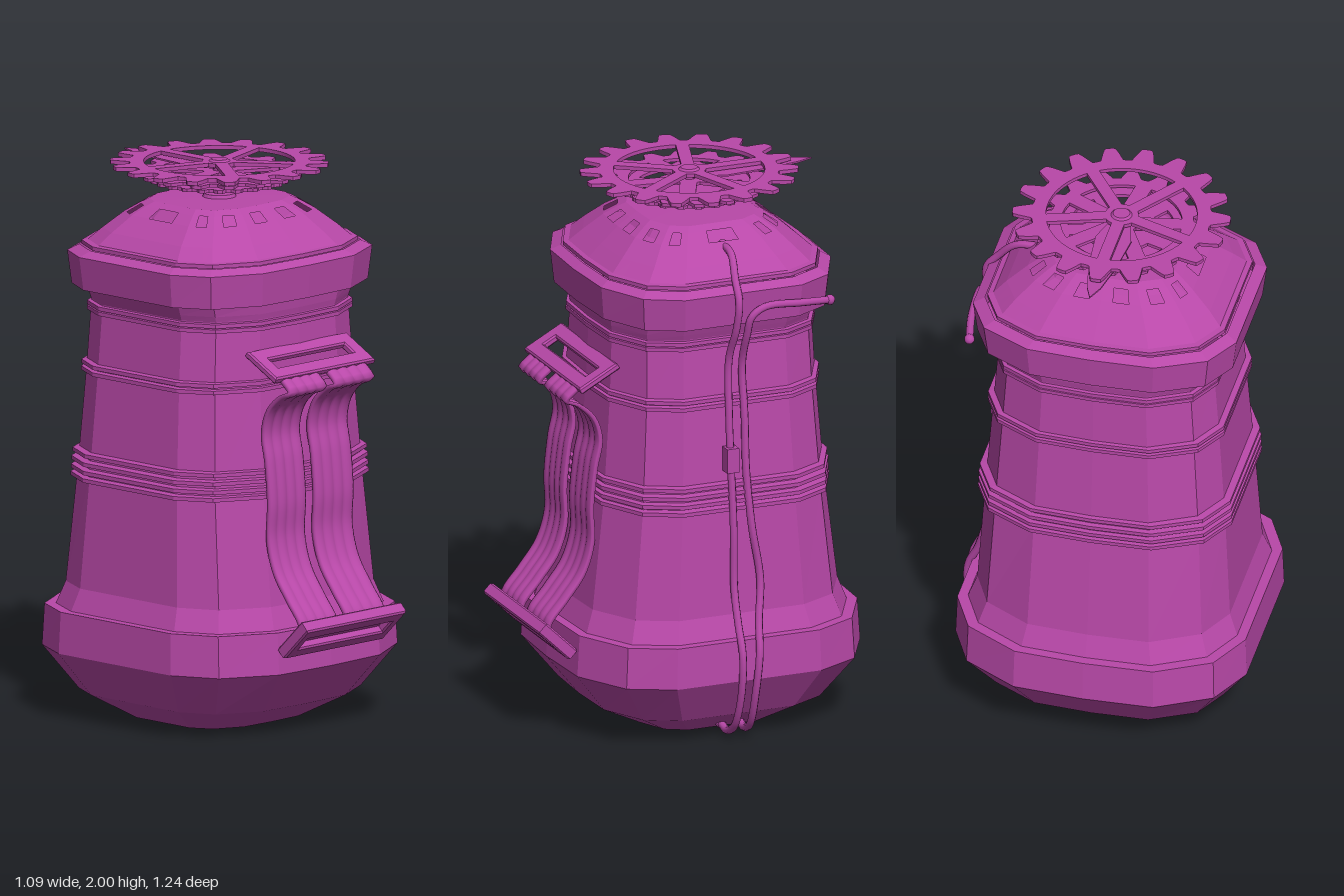
import * as THREE from 'three';

const CX = -0.015, CZ = -0.063; // axis of the body
const COLOR = 0xb848a8;
const flat = new THREE.MeshStandardMaterial({ color: COLOR, flatShading: true, side: THREE.DoubleSide });
const smooth = new THREE.MeshStandardMaterial({ color: COLOR, side: THREE.DoubleSide });

// Rounded-square outline with 14 corners, running from front to left, back, right
const quarter = [[0, 1], [0.48, 0.98], [0.85, 0.79], [1, 0.5]];
const half = [...quarter, ...quarter.slice().reverse().map(([x, z]) => [x, -z])];
const outline = [...half, ...half.slice(1, -1).reverse().map(([x, z]) => [-x, z])];
// Same outline with three pieces per edge, so the middle piece can be opened
const splitOutline = outline.flatMap((p, i) => {
  const q = outline[(i + 1) % outline.length];
  return [0, 0.3, 0.7].map(t => [p[0] + (q[0] - p[0]) * t, p[1] + (q[1] - p[1]) * t]);
});

// Skin from stacked outlines; rows are [y, half width x, half width z]
function loft(rows, ring = outline, skip = () => false) {
  const pos = [], n = ring.length;
  const at = (j, i) => [ring[i % n][0] * rows[j][1], rows[j][0], ring[i % n][1] * rows[j][2]];
  for (let j = 0; j < rows.length - 1; j++) {
    for (let i = 0; i < n; i++) {
      if (skip(j, i)) continue;
      const a = at(j, i), b = at(j, i + 1), c = at(j + 1, i + 1), d = at(j + 1, i);
      pos.push(...a, ...b, ...c, ...a, ...c, ...d);
    }
  }
  const g = new THREE.BufferGeometry();
  g.setAttribute('position', new THREE.Float32BufferAttribute(pos, 3));
  g.computeVertexNormals();
  return g;
}

// Toothed wheel with spokes, lying flat
function gearGeometry({ tip, root, teeth, rim, hub, spoke, depth, spokes = 5 }) {
  const pts = [], n = teeth * 14;
  for (let k = 0; k < n; k++) {
    const a = (k / n) * Math.PI * 2;
    const w = THREE.MathUtils.clamp(1.5 * Math.cos(teeth * (a + Math.PI / 2)), -1, 1);
    const r = (tip + root) / 2 + (tip - root) / 2 * w;
    pts.push(new THREE.Vector2(r * Math.cos(a), r * Math.sin(a)));
  }
  const shape = new THREE.Shape(pts);
  for (let k = 0; k < spokes; k++) {
    const a = Math.PI / 2 + (k / spokes) * Math.PI * 2, b = a + Math.PI * 2 / spokes;
    const outer = Math.asin(spoke / rim), inner = Math.asin(spoke / hub);
    const hole = new THREE.Path();
    hole.absarc(0, 0, rim, a + outer, b - outer, false);
    hole.absarc(0, 0, hub, b - inner, a + inner, true);
    hole.closePath();
    shape.holes.push(hole);
  }
  const g = new THREE.ExtrudeGeometry(shape, { depth, bevelEnabled: false, curveSegments: 14 });
  return g.rotateX(-Math.PI / 2);
}

// Ribbed band following a path of [z, y] points
function strapGeometry(path, x0, x1) {
  const curve = new THREE.CatmullRomCurve3(path.map(([z, y]) => new THREE.Vector3(0, y, z)));
  const U = 28, V = 56, T = 0.012, pos = [], idx = [], W = 2 * (U + 1);
  for (let j = 0; j <= V; j++) {
    const p = curve.getPointAt(j / V), t = curve.getTangentAt(j / V);
    for (let k = 0; k < W; k++) {
      const back = k > U, u = (back ? W - 1 - k : k) / U;
      const h = 0.006 * Math.abs(Math.sin(u * Math.PI * 4)) - (back ? T : 0);
      pos.push(x0 + (x1 - x0) * u - 0.012 * (j / V), p.y + t.z * h, p.z - t.y * h);
    }
  }
  for (let j = 0; j < V; j++) {
    for (let k = 0; k < W; k++) {
      const a = j * W + k, b = j * W + (k + 1) % W;
      idx.push(a, a + W, b, b, a + W, b + W);
    }
  }
  const g = new THREE.BufferGeometry();
  g.setAttribute('position', new THREE.Float32BufferAttribute(pos, 3));
  // Path runs downwards, so reverse the winding to face outwards
  g.setIndex(idx);
  g.computeVertexNormals();
  return g;
}

// Slotted buckle plate, centred on the origin
function buckleGeometry(w, h, depth, slotW, slotH) {
  const rect = (s, a, b) => s.moveTo(-a, -b).lineTo(a, -b).lineTo(a, b).lineTo(-a, b).closePath();
  const shape = rect(new THREE.Shape(), w / 2, h / 2);
  shape.holes.push(rect(new THREE.Path(), slotW / 2, slotH / 2));
  const g = new THREE.ExtrudeGeometry(shape, { depth, bevelSize: 0.006, bevelThickness: 0.006, bevelOffset: -0.006, bevelSegments: 1 });
  return g.translate(0, 0, -depth / 2);
}

export function createModel() {
  const model = new THREE.Group();
  const add = (name, geometry, x = 0, y = 0, z = 0, material = flat) => {
    const m = new THREE.Mesh(geometry, material);
    m.name = name;
    m.position.set(x, y, z);
    model.add(m);
    return m;
  };

  // Barrel body
  add('base', loft([[0.005, 0, 0], [0.005, 0.285, 0.26], [0.095, 0.43, 0.43], [0.25, 0.53, 0.555],
    [0.4, 0.525, 0.545], [0.4, 0.49, 0.51], [0.48, 0.46, 0.48]]), CX, 0, CZ);
  add('barrel', loft([[0.48, 0.46, 0.48], [0.88, 0.437, 0.432], [1.26, 0.41, 0.402],
    [1.5, 0.392, 0.391], [1.52, 0.4, 0.395], [1.56, 0.415, 0.4]]), CX, 0, CZ);
  add('collar', loft([[1.56, 0.39, 0.38], [1.56, 0.465, 0.438], [1.68, 0.48, 0.45], [1.7, 0.44, 0.415]]), CX, 0, CZ);

  // Raised bands around the barrel and the foot of the dome
  const bands = [[0.873, 0.462, 0.447], [0.9, 0.461, 0.446], [0.93, 0.46, 0.445], [0.96, 0.456, 0.441],
    [1.253, 0.43, 0.415], [1.277, 0.429, 0.414], [1.47, 0.407, 0.404], [1.488, 0.406, 0.403], [1.708, 0.432, 0.41]];
  for (const [y, w, d] of bands) {
    const inner = 0.93;
    add('band', loft([[y - 0.011, w * inner, d * inner], [y - 0.008, w, d], [y + 0.006, w, d],
      [y + 0.011, w * inner, d * inner]]), CX, 0, CZ);
  }

  // Dome with a ring of vents and an inner lining behind them
  add('dome', loft([[1.7, 0.43, 0.41], [1.76, 0.37, 0.345], [1.818, 0.3, 0.28], [1.847, 0.255, 0.235],
    [1.863, 0.225, 0.205], [1.866, 0, 0]], splitOutline, (j, i) => j === 2 && i % 3 === 1), CX, 0, CZ);
  add('domeLining', loft([[1.76, 0.34, 0.32], [1.8, 0.23, 0.21], [1.86, 0.18, 0.16]]), CX, 0, CZ);

  // Stack of wheels on a shaft
  const gx = -0.02, gz = -0.06;
  add('shaft', new THREE.CylinderGeometry(0.022, 0.022, 0.13, 16), gx, 1.92, gz, smooth);
  add('shaftFoot', new THREE.CylinderGeometry(0.055, 0.06, 0.012, 20), gx, 1.872, gz);
  add('spacerDisc', new THREE.CylinderGeometry(0.09, 0.09, 0.012, 28), gx, 1.907, gz);
  add('lowerWheel', gearGeometry({ tip: 0.25, root: 0.235, teeth: 24, rim: 0.19, hub: 0.13, spoke: 0.03, depth: 0.012 }), gx, 1.924, gz);
  add('middleGear', gearGeometry({ tip: 0.3, root: 0.255, teeth: 16, rim: 0.215, hub: 0.06, spoke: 0.03, depth: 0.012 }), gx, 1.948, gz)
    .rotation.y = 0.5;
  add('topGear', gearGeometry({ tip: 0.387, root: 0.318, teeth: 18, rim: 0.268, hub: 0.06, spoke: 0.023, depth: 0.014 }), gx, 1.979, gz);
  add('hubCap', new THREE.CylinderGeometry(0.03, 0.05, 0.018, 20), gx, 1.991, gz);

  // Pointer blade towards the back
  const blade = new THREE.Shape([[-0.03, 0], [0.03, 0], [0.065, 0.12], [0.05, 0.28], [0.025, 0.41], [0, 0.47],
    [-0.025, 0.41], [-0.05, 0.28], [-0.065, 0.12]].map(p => new THREE.Vector2(...p)));
  add('pointer', new THREE.ExtrudeGeometry(blade, { depth: 0.006, bevelEnabled: false }).rotateX(-Math.PI / 2), gx, 1.968, gz);

  // Pair of front straps between two buckles
  const path = [[0.43, 1.325], [0.475, 1.295], [0.505, 1.262], [0.45, 1.235], [0.395, 1.18], [0.372, 1.1], [0.39, 1],
    [0.405, 0.85], [0.402, 0.72], [0.435, 0.61], [0.5, 0.52], [0.565, 0.435], [0.56, 0.4]];
  add('strap', strapGeometry(path, -0.235, -0.05), 0, 0, 0, smooth);
  add('strap', strapGeometry(path, -0.005, 0.19), 0, 0, 0, smooth);
  add('upperBuckle', buckleGeometry(0.5, 0.165, 0.014, 0.38, 0.05), -0.02, 1.345, 0.39).rotation.x = -1.08;
  add('lowerBuckle', buckleGeometry(0.5, 0.165, 0.035, 0.42, 0.06), -0.022, 0.385, 0.55).rotation.x = 0.8;
  add('lowerBuckleBar', new THREE.BoxGeometry(0.46, 0.12, 0.012), -0.022, 0.39, 0.54).rotation.x = 0.8;

  // Two cables down the left side
  const cable = (name, points) => {
    const curve = new THREE.CatmullRomCurve3(points.map(p => new THREE.Vector3(...p)));
    add(name, new THREE.TubeGeometry(curve, 110, 0.014, 8), 0, 0, 0, smooth);
    for (const p of [points[0], points[points.length - 1]]) {
      add('cableEnd', new THREE.SphereGeometry(0.019, 10, 8), ...p, smooth);
    }
  };
  cable('frontCable', [[0.27, 1.8, -0.065], [0.36, 1.79, -0.06], [0.43, 1.72, -0.045], [0.478, 1.65, -0.04],
    [0.465, 1.55, -0.035], [0.412, 1.42, -0.028], [0.42, 1.22, -0.025], [0.435, 1.05, -0.025], [0.45, 0.8, -0.03],
    [0.455, 0.58, -0.03], [0.49, 0.46, -0.03], [0.533, 0.35, -0.03], [0.52, 0.2, -0.03], [0.46, 0.07, -0.03],
    [0.38, 0.025, -0.035], [0.31, 0.03, -0.04]]);
  cable('rearCable', [[0.45, 1.605, -0.4], [0.472, 1.617, -0.28], [0.478, 1.622, -0.14], [0.475, 1.59, -0.09],
    [0.455, 1.52, -0.08], [0.41, 1.4, -0.08], [0.42, 1.2, -0.085], [0.435, 1, -0.085], [0.45, 0.8, -0.1],
    [0.455, 0.6, -0.13], [0.49, 0.46, -0.11], [0.533, 0.35, -0.095], [0.52, 0.2, -0.085], [0.46, 0.07, -0.09],
    [0.38, 0.028, -0.1], [0.31, 0.035, -0.11]]);
  add('cableConnector', new THREE.BoxGeometry(0.045, 0.09, 0.045), 0.437, 1.055, -0.025);

  return model;
}
